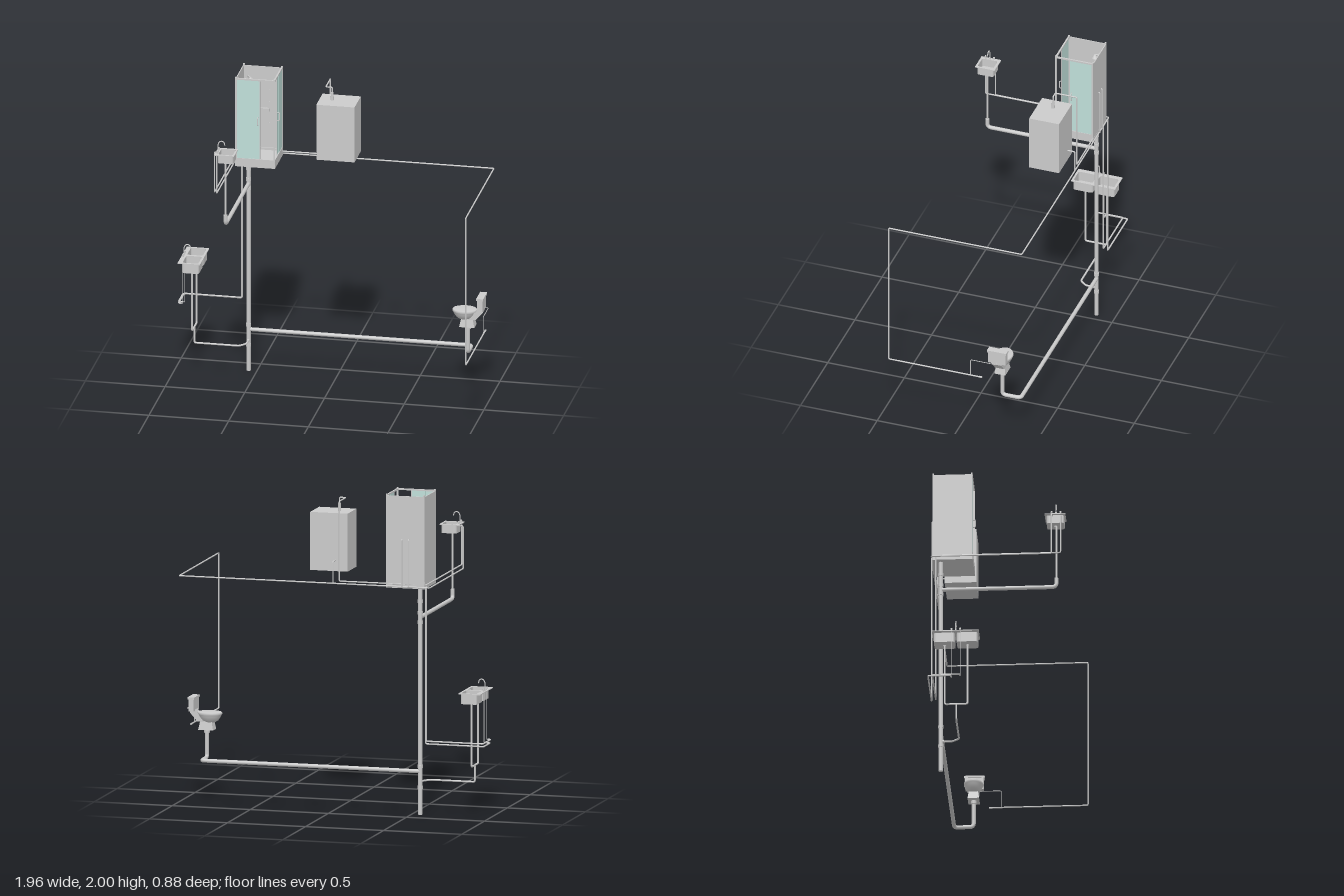
import * as THREE from 'three';
import { mergeGeometries } from 'three/addons/utils/BufferGeometryUtils.js';

const grey = new THREE.MeshStandardMaterial({ color: 0xcccccc });
const greyThin = new THREE.MeshStandardMaterial({ color: 0xcccccc, side: THREE.DoubleSide });
const glass = new THREE.MeshStandardMaterial({ color: 0xc0e0da, side: THREE.DoubleSide });
const V = (p) => new THREE.Vector3(...p);

function add(parent, name, geo, mat = grey) {
  const mesh = new THREE.Mesh(geo, mat);
  mesh.name = name;
  parent.add(mesh);
  return mesh;
}

// Box given by its min and max on each axis
function box(parent, name, [x0, x1], [y0, y1], [z0, z1], mat) {
  const geo = new THREE.BoxGeometry(x1 - x0, y1 - y0, z1 - z0);
  geo.translate((x0 + x1) / 2, (y0 + y1) / 2, (z0 + z1) / 2);
  return add(parent, name, geo, mat);
}

function rod(a, b, r0, r1 = r0, sides = 12) {
  const d = b.clone().sub(a);
  const geo = new THREE.CylinderGeometry(r1, r0, d.length(), sides);
  geo.applyQuaternion(new THREE.Quaternion().setFromUnitVectors(new THREE.Vector3(0, 1, 0), d.normalize()));
  const m = a.clone().add(b).multiplyScalar(0.5);
  return geo.translate(m.x, m.y, m.z);
}

// Straight runs joined by rounded elbows
function pipe(parent, name, points, r = 0.005, bend = r * 2) {
  const pts = points.map(V), parts = [];
  let start = pts[0];
  for (let i = 1; i < pts.length; i++) {
    const p = pts[i], last = i === pts.length - 1;
    const prev = pts[i - 1];
    const back = Math.min(bend, p.distanceTo(prev) * 0.45);
    const end = last ? p : p.clone().lerp(prev, back / p.distanceTo(prev));
    parts.push(rod(start, end, r));
    if (last) break;
    const next = pts[i + 1], len = p.distanceTo(next);
    start = p.clone().lerp(next, Math.min(bend, len * 0.45) / len);
    parts.push(new THREE.TubeGeometry(new THREE.QuadraticBezierCurve3(end, p, start), 6, r, 12));
  }
  return add(parent, name, mergeGeometries(parts));
}

function roundRect(path, x0, x1, z0, z1, r) {
  path.moveTo(x0 + r, z0);
  path.lineTo(x1 - r, z0).quadraticCurveTo(x1, z0, x1, z0 + r);
  path.lineTo(x1, z1 - r).quadraticCurveTo(x1, z1, x1 - r, z1);
  path.lineTo(x0 + r, z1).quadraticCurveTo(x0, z1, x0, z1 - r);
  path.lineTo(x0, z0 + r).quadraticCurveTo(x0, z0, x0 + r, z0);
  return path;
}

// Flat plate in plan, hanging down from the given top height
function slab(outline, holes, top, depth) {
  outline.holes = holes;
  const geo = new THREE.ExtrudeGeometry(outline, { depth, bevelEnabled: false, curveSegments: 5 });
  return geo.rotateX(Math.PI / 2).translate(0, top, 0);
}

function faucet(parent, x, y, z) {
  const g = new THREE.Group();
  g.name = 'faucet';
  const arch = new THREE.CatmullRomCurve3([[0, 0, 0], [0, 0.045, 0], [0.008, 0.064, 0], [0.022, 0.071, 0],
    [0.036, 0.064, 0], [0.042, 0.045, 0]].map(V));
  add(g, 'spout', new THREE.TubeGeometry(arch, 24, 0.0035, 8));
  add(g, 'spoutFoot', rod(V([0, 0, 0]), V([0, 0.012, 0]), 0.007, 0.005));
  for (const s of [-1, 1]) {
    add(g, 'tapStem', rod(V([0, 0, s * 0.027]), V([0, 0.01, s * 0.027]), 0.004));
    add(g, 'tapKnob', rod(V([0, 0.007, s * 0.027]), V([0, 0.018, s * 0.027]), 0.007, 0.006, 8));
  }
  g.position.set(x, y, z);
  parent.add(g);
}

function sink(root, name, [x0, x1], [z0, z1], top, depth, basins) {
  const g = new THREE.Group();
  g.name = name;
  const inner = () => basins.map((b) => roundRect(new THREE.Path(), ...b, 0.015));
  add(g, 'rim', slab(roundRect(new THREE.Shape(), x0, x1, z0, z1, 0.004), inner(), top, 0.005));
  for (const [a, b, c, d] of basins) {
    const t = 0.004;
    const outer = () => roundRect(new THREE.Shape(), a - t, b + t, c - t, d + t, 0.017);
    add(g, 'basinWall', slab(outer(), [roundRect(new THREE.Path(), a, b, c, d, 0.015)], top - 0.001, depth));
    add(g, 'basinFloor', slab(outer(), [], top - depth, 0.004));
    const x = (a + b) / 2, z = (c + d) / 2;
    add(g, 'drainRing', rod(V([x, top - depth - 0.012, z]), V([x, top - depth + 0.002, z]), 0.009, 0.011));
  }
  root.add(g);
  return g;
}

function shower(root) {
  const g = new THREE.Group();
  g.name = 'showerCabin';
  const X = [-0.597, -0.348], Z = [-0.43, -0.182], Y = [1.46, 1.99];
  // Tray with a raised lip
  box(g, 'tray', X, [1.415, 1.445], Z);
  add(g, 'trayLip', slab(roundRect(new THREE.Shape(), ...X, ...Z, 0.004),
    [roundRect(new THREE.Path(), X[0] + 0.014, X[1] - 0.014, Z[0] + 0.014, Z[1] - 0.014, 0.012)], 1.46, 0.02));
  add(g, 'trayDrain', rod(V([-0.553, 1.44, -0.38]), V([-0.553, 1.448, -0.38]), 0.014));
  // Solid walls, corner posts and top rails
  box(g, 'backWall', X, Y, [Z[0], Z[0] + 0.006]);
  box(g, 'sideWall', [X[0], X[0] + 0.006], Y, Z);
  for (const x of [X[0], X[1] - 0.01]) for (const z of [Z[0], Z[1] - 0.01])
    box(g, 'post', [x, x + 0.01], [1.46, 2], [z, z + 0.01]);
  for (const y of [1.46, 1.985]) {
    box(g, 'frontRail', X, [y, y + 0.01], [Z[1] - 0.01, Z[1]]);
    box(g, 'rightRail', [X[1] - 0.01, X[1]], [y, y + 0.01], Z);
  }
  // Fixed panes with sliding doors left open at the front corner
  box(g, 'frontPane', [-0.587, -0.49], [1.47, 1.985], [Z[1] - 0.005, Z[1] - 0.003], glass);
  box(g, 'frontDoor', [-0.53, -0.442], [1.47, 1.985], [Z[1] - 0.009, Z[1] - 0.007], glass);
  box(g, 'rightPane', [X[1] - 0.005, X[1] - 0.003], [1.47, 1.985], [-0.42, -0.325], glass);
  box(g, 'rightDoor', [X[1] - 0.009, X[1] - 0.007], [1.47, 1.985], [-0.36, -0.275], glass);
  box(g, 'frontDoorEdge', [-0.445, -0.441], [1.47, 1.985], [Z[1] - 0.01, Z[1] - 0.005]);
  box(g, 'rightDoorEdge', [X[1] - 0.01, X[1] - 0.005], [1.47, 1.985], [-0.278, -0.274]);
  pipe(g, 'frontHandle', [[-0.455, 1.695, -0.19], [-0.455, 1.695, -0.174], [-0.455, 1.745, -0.174], [-0.455, 1.745, -0.19]], 0.003);
  pipe(g, 'rightHandle', [[-0.356, 1.695, -0.288], [-0.34, 1.695, -0.288], [-0.34, 1.745, -0.288], [-0.356, 1.745, -0.288]], 0.003);
  // Riser, shower head, mixer and body jets
  pipe(g, 'riser', [[-0.565, 1.68, -0.41], [-0.565, 1.93, -0.41], [-0.54, 1.93, -0.375]], 0.004);
  add(g, 'showerHead', rod(V([-0.54, 1.91, -0.375]), V([-0.54, 1.932, -0.375]), 0.02, 0.006, 16));
  box(g, 'mixer', [-0.52, -0.43], [1.7, 1.72], [-0.425, -0.41]);
  for (const x of [-0.5, -0.43]) for (const y of [1.62, 1.76, 1.84])
    add(g, 'bodyJet', rod(V([x, y, -0.425]), V([x, y, -0.417]), 0.006));
  for (const x of [-0.495, -0.452])
    pipe(g, 'showerSupply', [[x, 1.425, -0.438], [x, 1.72, -0.438], [x, 1.72, -0.42]], 0.004);
  root.add(g);
}

function toilet(root) {
  const g = new THREE.Group();
  g.name = 'toilet';
  const z = -0.262;
  const bowl = new THREE.LatheGeometry([[0, 0.49], [0.45, 0.492], [0.7, 0.505], [0.9, 0.528], [0.95, 0.54], [1, 0.542],
    [1, 0.551], [0.96, 0.556], [0, 0.557]].map(([r, y]) => new THREE.Vector2(r, y)), 28);
  add(g, 'bowlAndLid', bowl.scale(0.077, 1, 0.06).translate(0.828, 0, z));
  // Foot flaring out to the floor, with a neck rising to the tank
  const foot = new THREE.CylinderGeometry(0.05, 0.068, 0.06, 4, 1).rotateY(Math.PI / 4).scale(1, 1, 0.75);
  add(g, 'foot', foot.translate(0.846, 0.475, z)).material = new THREE.MeshStandardMaterial({ color: 0xcccccc, flatShading: true });
  const neck = new THREE.Shape([[0.83, 0.495], [0.9, 0.495], [0.948, 0.55], [0.948, 0.575], [0.92, 0.575], [0.9, 0.545], [0.83, 0.535]]
    .map((p) => new THREE.Vector2(...p)));
  add(g, 'neck', new THREE.ExtrudeGeometry(neck, { depth: 0.06, bevelEnabled: false }).translate(0, 0, z - 0.03));
  box(g, 'tank', [0.916, 0.95], [0.56, 0.637], [z - 0.057, z + 0.057]);
  box(g, 'tankLid', [0.911, 0.955], [0.635, 0.649], [z - 0.063, z + 0.063]);
  root.add(g);
}

export function createModel() {
  const root = new THREE.Group();
  root.name = 'plumbingSystem';

  shower(root);
  toilet(root);
  const basin = sink(root, 'washBasin', [-0.613, -0.488], [0.262, 0.39], 1.703, 0.053, [[-0.59, -0.5, 0.277, 0.377]]);
  faucet(basin, -0.6, 1.703, 0.332);
  const kitchen = sink(root, 'doubleSink', [-0.947, -0.806], [-0.412, -0.123], 0.772, 0.063,
    [[-0.918, -0.82, -0.398, -0.277], [-0.918, -0.82, -0.257, -0.136]]);
  faucet(kitchen, -0.935, 0.772, -0.265);

  // Water heater
  box(root, 'waterHeater', [-0.09, 0.15], [1.493, 1.855], [-0.385, -0.19]);
  add(root, 'heaterOutlet', rod(V([-0.01, 1.85, -0.29]), V([-0.01, 1.905, -0.29]), 0.011, 0.008));

  // Waste stack with collars at the branches
  add(root, 'wasteStack', rod(V([-0.553, 0, -0.38]), V([-0.553, 1.42, -0.38]), 0.0135, 0.0135, 16));
  for (const y of [0.17, 0.3, 1.2, 1.26, 1.33])
    add(root, 'stackCollar', rod(V([-0.553, y - 0.01, -0.38]), V([-0.553, y + 0.01, -0.38]), 0.0165, 0.0165, 16));
  pipe(root, 'basinWaste', [[-0.553, 1.64, 0.332], [-0.553, 1.26, 0.332]], 0.006);
  pipe(root, 'basinBranch', [[-0.553, 1.29, 0.332], [-0.553, 1.23, 0.332], [-0.553, 1.23, -0.38]], 0.0125, 0.03);
  pipe(root, 'toiletBranch', [[0.847, 0.45, -0.262], [0.847, 0.27, -0.262], [0.847, 0.27, -0.382], [-0.553, 0.27, -0.382]], 0.0125, 0.025);
  add(root, 'toiletCollar', rod(V([0.847, 0.425, -0.262]), V([0.847, 0.446, -0.262]), 0.018));
  pipe(root, 'sinkWasteLoop', [[-0.87, 0.7, -0.337], [-0.87, 0.305, -0.337], [-0.87, 0.305, -0.196], [-0.87, 0.7, -0.196]], 0.006);
  pipe(root, 'sinkBranch', [[-0.87, 0.305, -0.266], [-0.87, 0.2, -0.266], [-0.59, 0.2, -0.266], [-0.553, 0.2, -0.31], [-0.553, 0.2, -0.38]], 0.006);
  add(root, 'branchCollar', rod(V([-0.553, 0.2, -0.385]), V([-0.553, 0.2, -0.355]), 0.013, 0.008));

  // Cold water: main run, then branches
  pipe(root, 'coldMain', [[-0.6, 1.69, 0.305], [-0.628, 1.69, 0.305], [-0.628, 1.425, 0.305], [-0.628, 1.425, -0.434],
    [0.975, 1.425, -0.434], [0.975, 1.425, 0.434], [0.975, 0.457, 0.434], [0.975, 0.457, -0.17]], 0.0045);
  pipe(root, 'heaterInlet', [[-0.01, 1.56, -0.38], [-0.01, 1.56, -0.432], [-0.01, 1.425, -0.432]], 0.0045);
  pipe(root, 'coldSinkRun', [[-0.605, 1.425, -0.434], [-0.605, 0.452, -0.434], [-0.975, 0.452, -0.434], [-0.975, 0.452, -0.293], [-0.95, 0.452, -0.293]]);
  pipe(root, 'toiletSupply', [[0.975, 0.457, -0.1], [0.975, 0.57, -0.1], [0.975, 0.57, -0.265], [0.945, 0.57, -0.265]], 0.0022, 0.01);
  add(root, 'toiletValve', rod(V([0.975, 0.457, -0.175]), V([0.975, 0.457, -0.155]), 0.006));

  // Hot water: from the heater to the fixtures
  pipe(root, 'hotMain', [[-0.01, 1.89, -0.29], [-0.01, 1.938, -0.29], [-0.05, 1.938, -0.29], [-0.05, 1.938, -0.43], [-0.05, 1.44, -0.43],
    [-0.603, 1.44, -0.425], [-0.603, 1.44, 0.36], [-0.603, 1.69, 0.36]], 0.0045);
  pipe(root, 'hotSinkRun', [[-0.6, 1.44, -0.408], [-0.6, 0.464, -0.408], [-0.963, 0.464, -0.408], [-0.963, 0.464, -0.238], [-0.945, 0.464, -0.238]]);
  for (const [z, y] of [[-0.293, 0.452], [-0.238, 0.464]])
    pipe(root, 'sinkRiser', [[-0.955, y, z], [-0.937, y, z], [-0.937, 0.77, z]], 0.002);

  return root;
}
